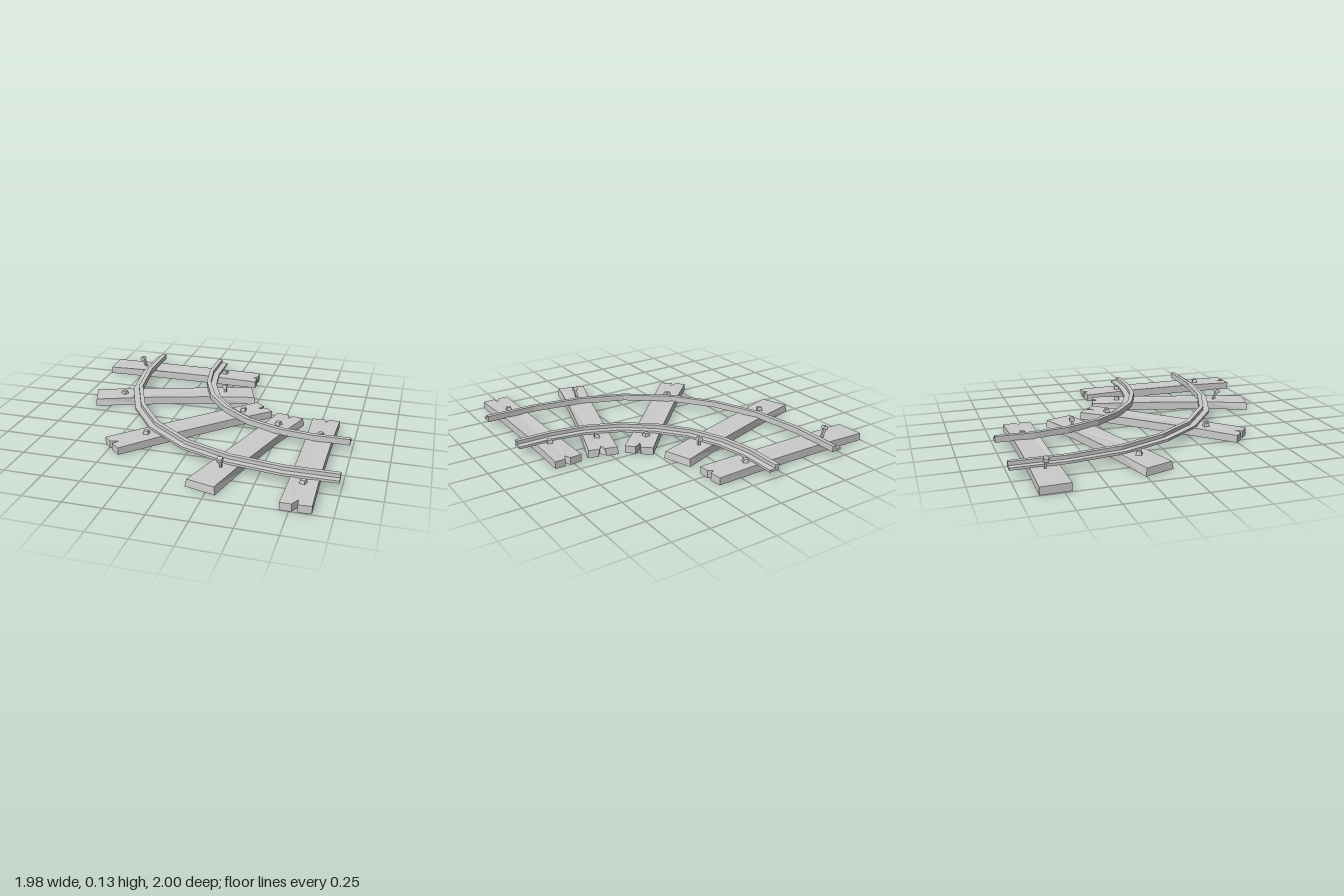
import * as THREE from 'three';

const material = new THREE.MeshStandardMaterial({ color: 0xcccccc, flatShading: true });

function addMesh(parent, geometry, name) {
  const mesh = new THREE.Mesh(geometry, material);
  mesh.name = name;
  parent.add(mesh);
  return mesh;
}

// Sweep a profile of [inward offset, height] along a ground path of [x, z], with mitred corners
function railGeometry(path, profile) {
  const pts = path.map(([x, z]) => new THREE.Vector2(x, z));
  const inward = (a, b) => {
    const d = b.clone().sub(a).normalize();
    return new THREE.Vector2(d.y, -d.x);
  };
  const positions = [];
  pts.forEach((p, i) => {
    const before = inward(pts[Math.max(i - 1, 0)], pts[Math.max(i, 1)]);
    const after = i < pts.length - 1 ? inward(p, pts[i + 1]) : before;
    const mitre = before.clone().add(after).normalize();
    mitre.divideScalar(mitre.dot(after));
    for (const [u, y] of profile) positions.push(p.x + mitre.x * u, y, p.y + mitre.y * u);
  });
  const n = profile.length;
  const last = (pts.length - 1) * n;
  const index = [];
  for (let i = 0; i < pts.length - 1; i++) {
    for (let j = 0; j < n; j++) {
      const a = i * n + j, b = i * n + (j + 1) % n;
      index.push(a, b, b + n, a, b + n, a + n);
    }
  }
  // End caps
  const outline = profile.map(([u, y]) => new THREE.Vector2(u, y));
  for (const [a, b, c] of THREE.ShapeUtils.triangulateShape(outline, [])) {
    index.push(a, c, b, last + a, last + b, last + c);
  }
  const geometry = new THREE.BufferGeometry();
  geometry.setAttribute('position', new THREE.Float32BufferAttribute(positions, 3));
  geometry.setIndex(index);
  const flat = geometry.toNonIndexed();
  flat.computeVertexNormals();
  return flat;
}

// Worn plank lying along x: waisted sides, optional split in each end, rounded-down tips
function plankGeometry(length, width, innerSplit, outerSplit, flare) {
  const l = length / 2, w = width / 2, waist = w - 0.008;
  const end = (s, depth) => {
    const split = depth ? [[s * l, -0.022 * s], [s * (l - depth), -0.006], [s * l, 0.012 * s]] : [];
    return [[s * l, -s * w], ...split, [s * (l - 0.006), s * w]];
  };
  const outline = [
    ...end(1, innerSplit), [l * 0.4, waist], [-l * 0.4, waist],
    ...end(-1, outerSplit), [-l * 0.4, -waist], [l * 0.4, -waist],
  ];
  const shape = new THREE.Shape(outline.map(([x, y]) => new THREE.Vector2(x, y)));
  const geometry = new THREE.ExtrudeGeometry(shape, { depth: 0.055, bevelEnabled: false });
  geometry.rotateX(-Math.PI / 2);
  const pos = geometry.attributes.position;
  for (let i = 0; i < pos.count; i++) {
    const x = pos.getX(i);
    if (Math.abs(x) < l * 0.85) continue;
    if (pos.getY(i) > 0.03) pos.setY(i, 0.049);
    else pos.setXYZ(i, x + Math.sign(x) * flare * 0.5, 0, pos.getZ(i) + Math.sign(pos.getZ(i)) * flare);
  }
  geometry.computeVertexNormals();
  return geometry;
}

// Spike with its origin where the shank enters the plank
function makeSpike(name, rise) {
  const spike = new THREE.Group();
  spike.name = name;
  const shank = new THREE.CylinderGeometry(0.013, 0.009, rise + 0.03, 4);
  shank.translate(0, (rise - 0.03) / 2, 0);
  addMesh(spike, shank, 'spikeShank');
  const head = new THREE.CylinderGeometry(0.02, 0.026, 0.022, 4);
  head.translate(0, rise + 0.007, 0);
  addMesh(spike, head, 'spikeHead');
  return spike;
}

export function createModel() {
  const model = new THREE.Group();
  model.name = 'curvedTrack';

  // Sleepers fanned around the curve: x, z, degrees, length, width, inner split, outer split, flare
  const sleepers = [
    [-0.412, -0.797, 0, 1.165, 0.187, 0.035, 0, 0],
    [-0.34, -0.33, 17.6, 1.14, 0.188, 0, 0, 0.008],
    [-0.07, 0.145, 45.3, 1.165, 0.185, 0.06, 0.05, 0],
    [0.378, 0.372, 73, 1.13, 0.186, 0.045, 0, 0.01],
    [0.787, 0.415, 90, 1.165, 0.184, 0.045, 0.055, 0],
  ];
  for (const [x, z, degrees, length, width, inner, outer, flare] of sleepers) {
    const sleeper = addMesh(model, plankGeometry(length, width, inner, outer, flare), 'sleeper');
    sleeper.position.set(x, 0, z);
    sleeper.rotation.y = THREE.MathUtils.degToRad(degrees);
  }

  // Rails: a raised head beside a low flange
  const outerPath = [
    [-0.705, -1], [-0.705, -0.65], [-0.65, -0.29], [-0.515, 0.03], [-0.315, 0.3],
    [-0.02, 0.525], [0.3, 0.645], [0.645, 0.697], [0.988, 0.697],
  ];
  const innerPath = [
    [-0.195, -1], [-0.195, -0.745], [-0.155, -0.52], [-0.06, -0.29], [0.09, -0.1],
    [0.285, 0.055], [0.52, 0.15], [0.75, 0.184], [0.988, 0.184],
  ];
  const outerProfile = [[0, 0.05], [0.069, 0.05], [0.069, 0.09], [0.04, 0.09], [0.04, 0.066], [0, 0.066]];
  const innerProfile = [[0, 0.05], [0.072, 0.05], [0.072, 0.066], [0.03, 0.066], [0.03, 0.09], [0, 0.09]];
  addMesh(model, railGeometry(outerPath, outerProfile), 'outerRail');
  addMesh(model, railGeometry(innerPath, innerProfile), 'innerRail');

  // Spikes: x, z, turn, rise above the plank, tilt about x, tilt about z
  const spikes = [
    [-0.69, -0.22, 0.3, 0.004, 0, 0],
    [-0.307, 0.378, 0.8, 0.004, 0, 0],
    [0.787, 0.75, 0.5, 0.004, 0, 0],
    [-0.09, -0.81, 0.4, 0.004, 0, 0],
    [0.213, -0.154, 0.8, 0.004, 0, 0],
    [0.787, 0.095, 0.5, 0.004, 0, 0],
    [0.493, 0.005, 0.4, 0.004, 0, 0],
    [0.005, -0.455, 0.6, 0.035, -0.12, 0.1],
    [0.28, 0.69, 0.8, 0.06, 0.4, 0],
    [-0.735, -0.8, 0.5, 0.06, -0.15, 0.4],
  ];
  for (const [x, z, turn, rise, tiltX, tiltZ] of spikes) {
    const spike = makeSpike(rise > 0.01 ? 'looseSpike' : 'spike', rise);
    spike.position.set(x, 0.053, z);
    spike.rotation.set(tiltX, turn, tiltZ);
    model.add(spike);
  }

  return model;
}
